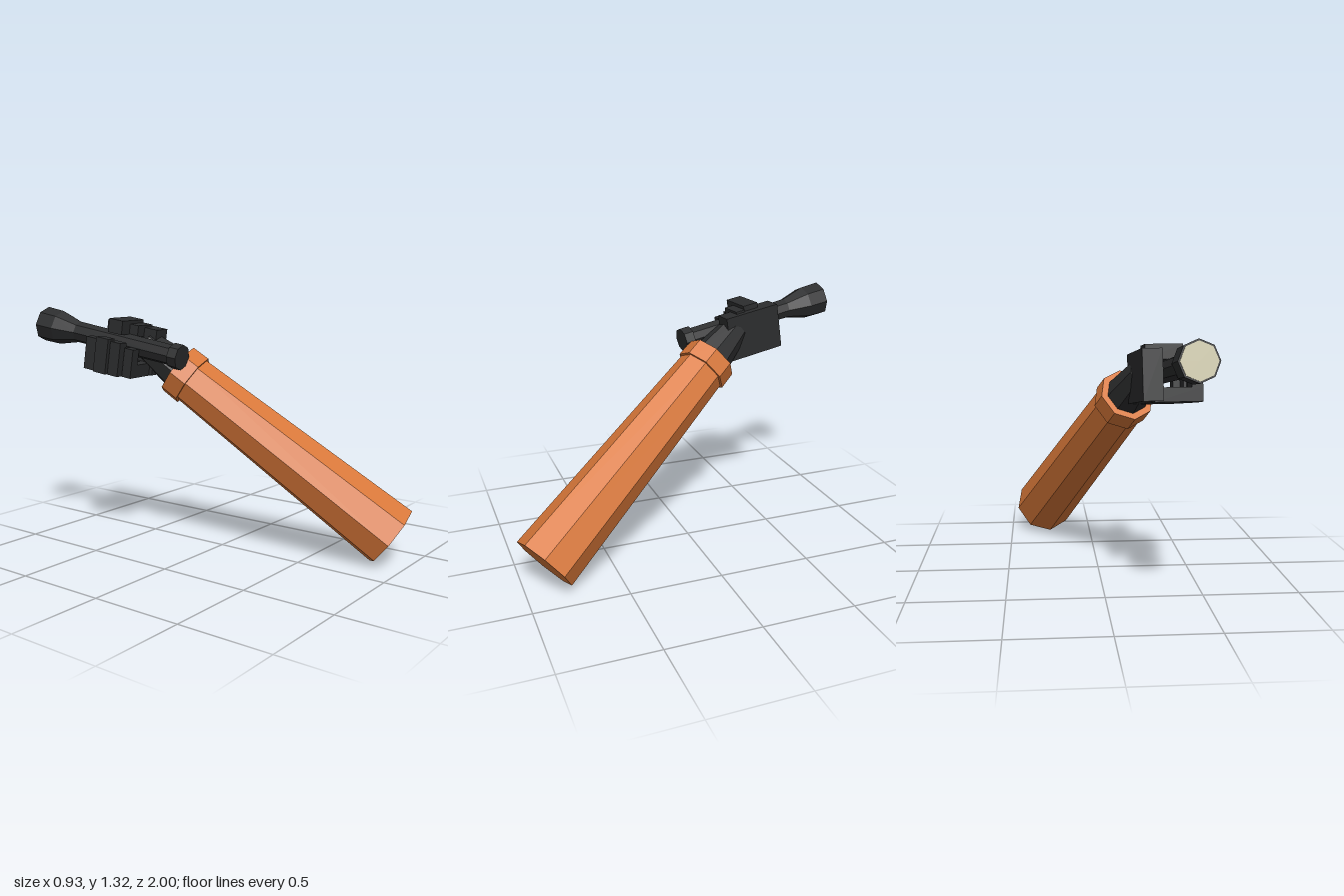
import * as THREE from 'three';

const material = (name, color) => {
  const m = new THREE.MeshStandardMaterial({ color });
  m.name = name;
  m.flatShading = true;
  return m;
};

// Group whose local y runs along an axis, with local z kept level and toward +x
function axisGroup(name, origin, direction) {
  const y = new THREE.Vector3(...direction).normalize();
  const z = new THREE.Vector3(-y.z, 0, y.x).normalize();
  const x = new THREE.Vector3().crossVectors(y, z);
  const g = new THREE.Group();
  g.name = name;
  g.quaternion.setFromRotationMatrix(new THREE.Matrix4().makeBasis(x, y, z));
  g.position.set(...origin);
  return g;
}

// Eight-sided section between two heights along the group's axis
function section(parent, name, mat, y0, y1, r0, r1) {
  const mesh = new THREE.Mesh(new THREE.CylinderGeometry(r1, r0, y1 - y0, 8), mat);
  mesh.name = name;
  mesh.position.y = (y0 + y1) / 2;
  parent.add(mesh);
}

// Box given by its lower and upper corners
function block(parent, name, mat, a, b) {
  const mesh = new THREE.Mesh(new THREE.BoxGeometry(b[0] - a[0], b[1] - a[1], b[2] - a[2]), mat);
  mesh.name = name;
  mesh.position.set((a[0] + b[0]) / 2, (a[1] + b[1]) / 2, (a[2] + b[2]) / 2);
  parent.add(mesh);
}

export function createModel() {
  const orange = material('sleeve orange', 0xd97839);
  const dark = material('dark rubber', 0x2c2d2e);
  const cream = material('lens cream', 0xcfcaac);

  const model = new THREE.Group();
  model.name = 'armWithFlashlight';

  // Tapered sleeve, cuff and gloved wrist
  const arm = axisGroup('arm', [0.295, 0.15, 0.89], [-0.4, 0.785, -1]);
  section(arm, 'sleeve', orange, 0, 1.35, 0.178, 0.135);
  section(arm, 'cuff', orange, 1.345, 1.445, 0.15, 0.148);
  section(arm, 'wrist', dark, 1.43, 1.67, 0.115, 0.08);
  model.add(arm);

  // Flashlight: tail cap, barrel, flared head and lens
  const light = axisGroup('flashlight', [-0.265, 1.082, -0.065], [-0.1, 0.15, -0.915]);
  section(light, 'tailCap', dark, 0, 0.055, 0.068, 0.068);
  section(light, 'barrel', dark, 0.05, 0.69, 0.055, 0.058);
  section(light, 'headFlare', dark, 0.69, 0.82, 0.058, 0.094);
  section(light, 'headRim', dark, 0.82, 0.93, 0.094, 0.097);
  section(light, 'lens', cream, 0.928, 0.933, 0.088, 0.088);
  model.add(light);

  // Gripping hand, local z pointing back along the flashlight
  const hand = new THREE.Group();
  hand.name = 'hand';
  const z = new THREE.Vector3(0.11, -0.16, 1).normalize();
  const x = new THREE.Vector3(0, 1, 0).cross(z).normalize();
  const y = new THREE.Vector3().crossVectors(z, x);
  hand.quaternion.setFromRotationMatrix(new THREE.Matrix4().makeBasis(x, y, z));
  hand.position.set(-0.306, 1.142, -0.44);
  block(hand, 'palm', dark, [0.06, -0.15, -0.165], [0.16, 0.1, 0.165]);
  block(hand, 'thumbTip', dark, [-0.07, 0.055, -0.06], [0.12, 0.13, 0.03]);
  block(hand, 'thumbBase', dark, [0.0, 0.05, 0.03], [0.13, 0.112, 0.085]);

  // Fingers pass under the barrel and curl up: [outer x, tip y, z start, z end]
  const fingers = [
    [-0.14, 0.02, -0.145, -0.07],
    [-0.16, 0.035, -0.065, 0.015],
    [-0.145, 0.025, 0.02, 0.085],
    [-0.11, 0.0, 0.09, 0.145],
  ];
  for (const [outer, tip, z0, z1] of fingers) {
    block(hand, 'fingerBase', dark, [outer, -0.155, z0], [0.1, -0.085, z1]);
    block(hand, 'fingerTip', dark, [outer, -0.1, z0], [outer + 0.055, tip, z1]);
  }
  model.add(hand);

  return model;
}
